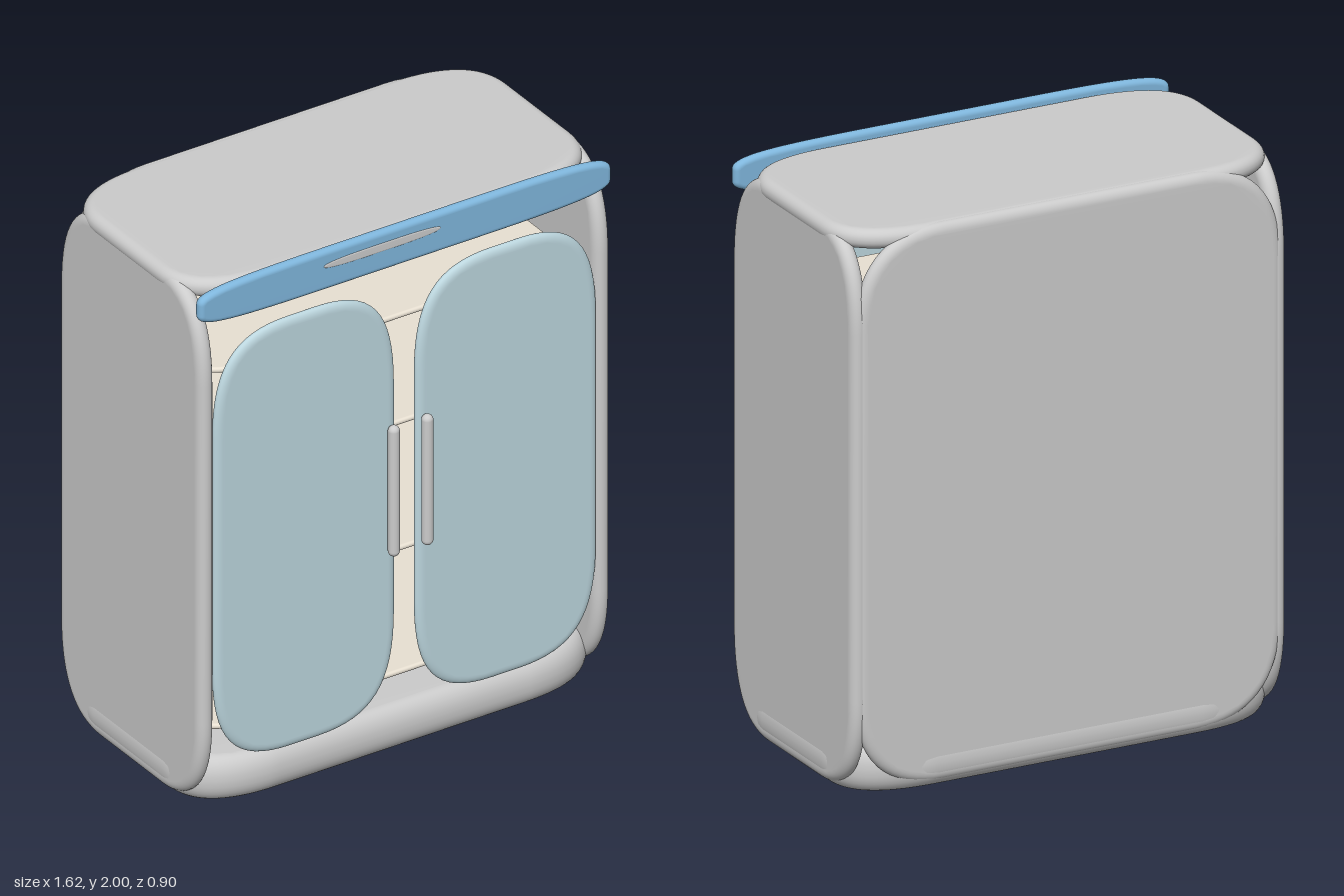
import * as THREE from 'three';
import { mergeVertices } from 'three/addons/utils/BufferGeometryUtils.js';

const GREY = 0xcccccc, BLUE = 0x7fb6dc, PALE = 0xbcd6de, BEIGE = 0xe8e0d2;

const material = (color) => new THREE.MeshStandardMaterial({ color });

// Rounded rectangle whose corners ease softly over rx by ry
function softRect(w, h, rx, ry, k) {
  const s = new THREE.Shape(), x = w / 2, y = h / 2;
  s.moveTo(x, -y + ry);
  s.lineTo(x, y - ry);
  s.bezierCurveTo(x, y - ry * k, x - rx * k, y, x - rx, y);
  s.lineTo(-x + rx, y);
  s.bezierCurveTo(-x + rx * k, y, -x, y - ry * k, -x, y - ry);
  s.lineTo(-x, -y + ry);
  s.bezierCurveTo(-x, -y + ry * k, -x + rx * k, -y, -x + rx, -y);
  s.lineTo(x - rx, -y);
  s.bezierCurveTo(x - rx * k, -y, x, -y + ry * k, x, -y + ry);
  return s;
}

// Pillow-edged slab, w by h and t thick, centred on its origin and facing z
function slab(name, { w, h, t, rx, ry, color = GREY, edge = 0.035, k = 0.35 }) {
  const raw = new THREE.ExtrudeGeometry(softRect(w, h, rx, ry, k), {
    depth: t * 0.06, bevelThickness: t * 0.47, bevelSize: edge, bevelOffset: -edge,
    bevelSegments: 8, curveSegments: 16,
  });
  raw.translate(0, 0, -t * 0.03);
  raw.deleteAttribute('normal');
  raw.deleteAttribute('uv');
  const geo = mergeVertices(raw, 1e-4);
  geo.computeVertexNormals();
  const mesh = new THREE.Mesh(geo, material(color));
  mesh.name = name;
  return mesh;
}

export function createModel() {
  const group = new THREE.Group();
  group.name = 'cabinet';
  const add = (mesh, x, y, z) => {
    mesh.position.set(x, y, z);
    group.add(mesh);
    return mesh;
  };

  // Carcass: top, base and back, each just breaking through its neighbours
  add(slab('topPanel', { w: 1.624, h: 0.815, t: 0.07, rx: 0.32, ry: 0.22 }),
    0, 1.942, -0.035).rotation.x = -Math.PI / 2;
  add(slab('basePanel', { w: 1.624, h: 0.85, t: 0.165, rx: 0.32, ry: 0.22, edge: 0.05 }),
    0, 0.0825, -0.025).rotation.x = -Math.PI / 2;
  add(slab('backPanel', { w: 1.58, h: 1.955, t: 0.055, rx: 0.32, ry: 0.34 }),
    0, 0.998, -0.42);
  add(slab('backLiner', { w: 1.5, h: 1.84, t: 0.02, rx: 0.32, ry: 0.32, color: BEIGE, edge: 0.01 }),
    0, 1.0, -0.388);

  // Shelves
  for (const y of [0.23, 0.7, 1.18, 1.585]) {
    add(slab('shelf', { w: 1.46, h: 0.68, t: 0.02, rx: 0.25, ry: 0.18, color: BEIGE, edge: 0.01 }),
      0, y, -0.04).rotation.x = -Math.PI / 2;
  }

  // Side walls, doors and door handles, mirrored
  for (const s of [1, -1]) {
    const side = s > 0 ? 'left' : 'right';
    add(slab(side + 'SidePanel', { w: 0.845, h: 1.965, t: 0.062, rx: 0.24, ry: 0.34 }),
      s * 0.778, 0.992, -0.022).rotation.y = s * Math.PI / 2;
    add(slab(side + 'Door', { w: 0.71, h: 1.63, t: 0.035, rx: 0.3, ry: 0.38, color: PALE, edge: 0.03, k: 0.28 }),
      s * 0.397, 0.975, 0.387);
    const handle = new THREE.Mesh(new THREE.CapsuleGeometry(0.02, 0.455, 8, 20), material(GREY));
    handle.name = side + 'Handle';
    add(handle, s * 0.066, 1.02, 0.427);
  }

  // Header board with its slim inlay
  add(slab('headerBoard', { w: 1.62, h: 0.15, t: 0.038, rx: 0.5, ry: 0.055, color: BLUE, edge: 0.018, k: 0.2 }),
    0, 1.925, 0.384);
  add(slab('headerInlay', { w: 0.46, h: 0.034, t: 0.012, rx: 0.18, ry: 0.015, edge: 0.006 }),
    -0.095, 1.943, 0.399);

  return group;
}
